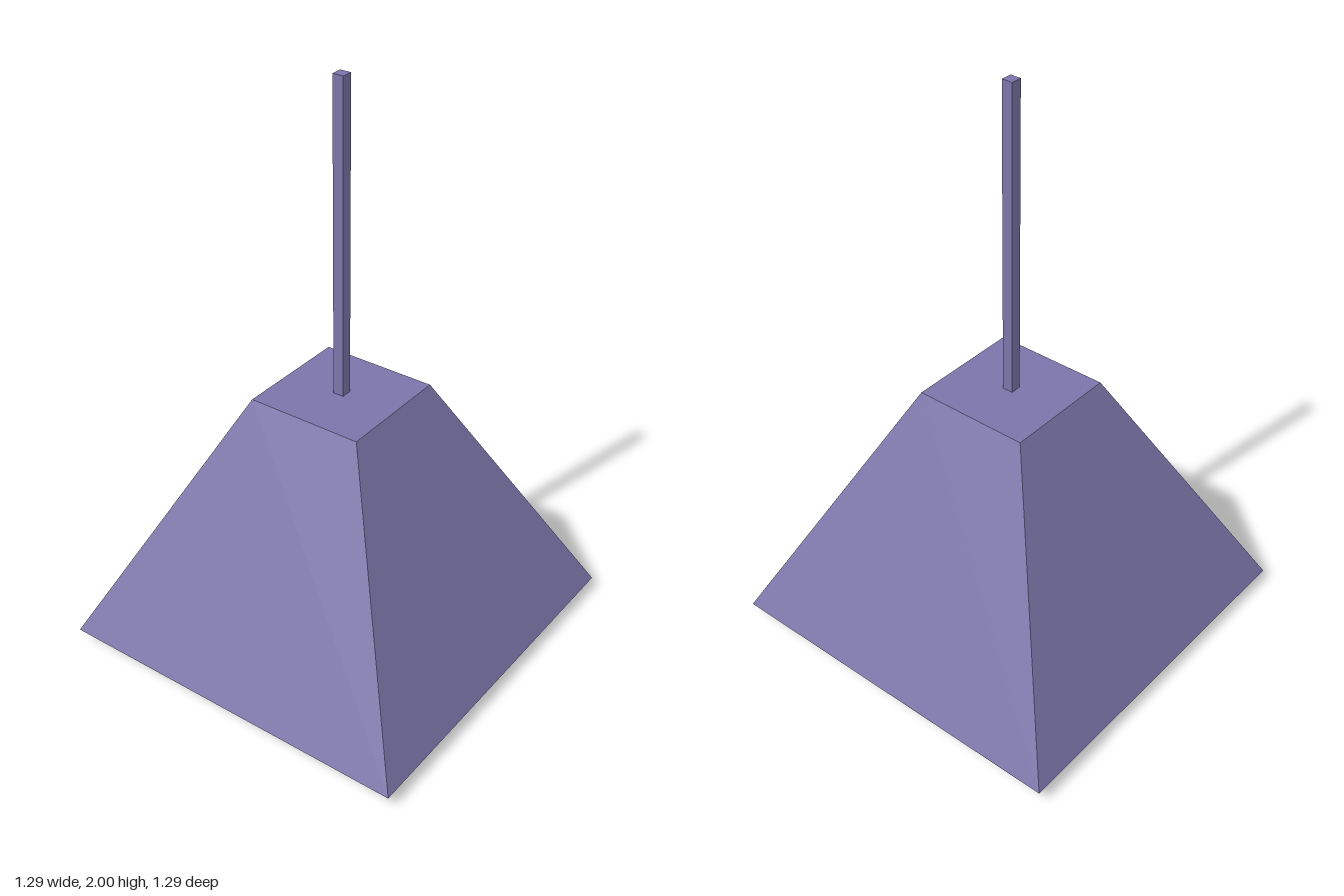
import * as THREE from 'three';

const material = new THREE.MeshStandardMaterial({ color: 0x7b75a9, flatShading: true });

// Square solid swept from a profile of [half width, height], listed from the bottom up on the outside.
function squareSolid(name, profile) {
  const points = profile.map(([half, y]) => new THREE.Vector2(half * Math.SQRT2, y));
  const mesh = new THREE.Mesh(new THREE.LatheGeometry(points, 4, Math.PI / 4), material);
  mesh.name = name;
  return mesh;
}

export function createModel() {
  const lamp = new THREE.Group();
  lamp.name = 'pendantLamp';

  // Hollow shade: inner ceiling, inner walls parallel to the outside, bevelled rim, outer walls, flat top
  lamp.add(squareSolid('shade', [
    [0, 0.6], [0.282, 0.6], [0.584, 0], [0.646, 0.045], [0.205, 0.925], [0, 0.925],
  ]));

  // Hanging rod
  lamp.add(squareSolid('rod', [[0, 0.92], [0.019, 0.92], [0.019, 2], [0, 2]]));

  // Faceted bulb with rounded-off bottom and sloping shoulders
  lamp.add(squareSolid('bulb', [
    [0, 0.062], [0.034, 0.062], [0.045, 0.095], [0.045, 0.22], [0.022, 0.32], [0, 0.32],
  ]));

  // Tapered holder and thin cord up to the ceiling of the shade
  lamp.add(squareSolid('bulbHolder', [[0.018, 0.32], [0.006, 0.38], [0.006, 0.605]]));

  return lamp;
}
